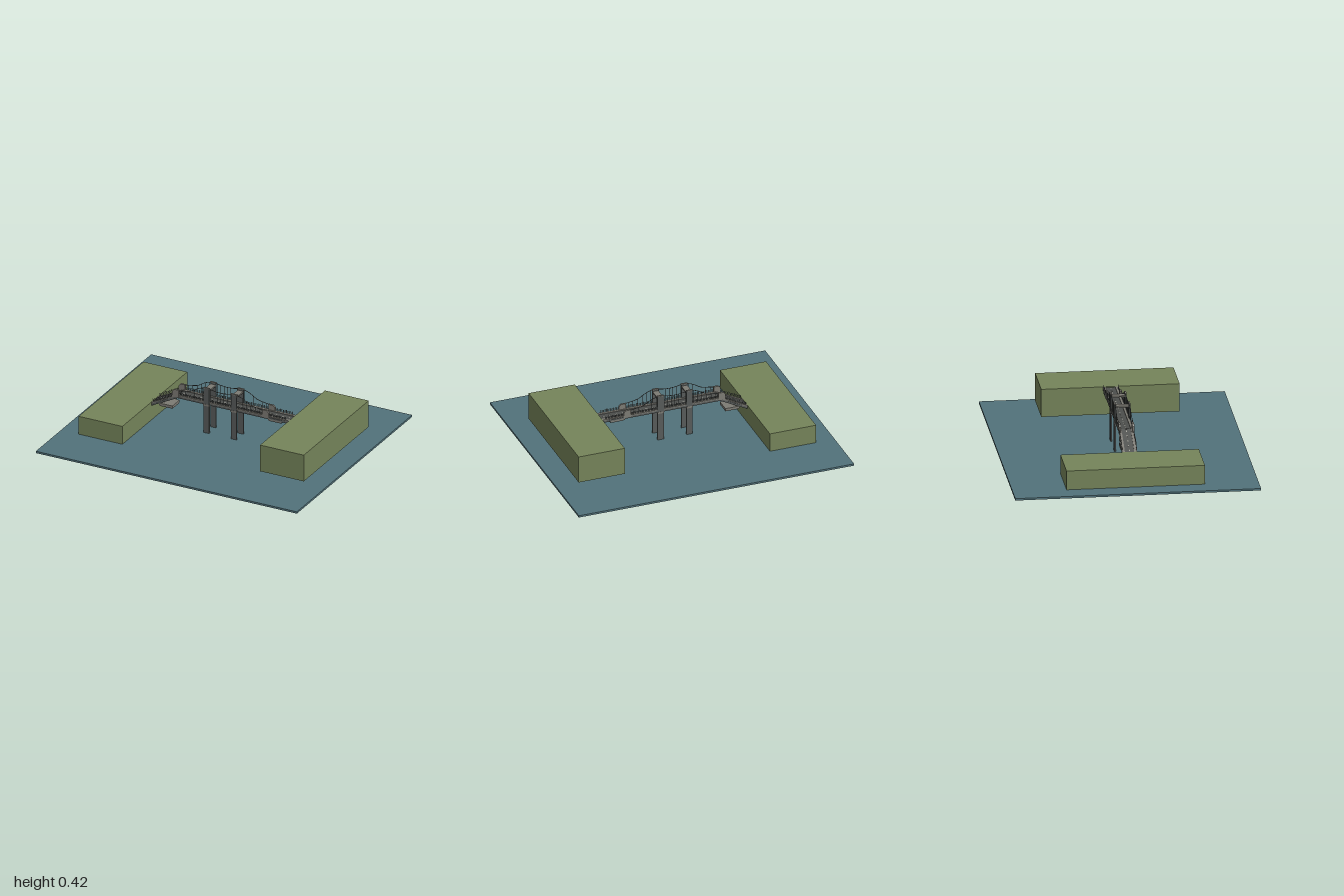
import * as THREE from 'three';

const mat = (name, color) => Object.assign(new THREE.MeshStandardMaterial({ color }), { name });

export function createModel() {
  const water = mat('water', 0x52727a), grass = mat('grass', 0x75845a), steel = mat('dark steel', 0x575b5a),
    stone = mat('stone', 0x7d7b74), road = mat('asphalt', 0x4c4e4c), paint = mat('road marking', 0xa09f96);
  const model = new THREE.Group();
  model.name = 'suspensionBridge';

  const add = (geo, m, name, parent = model) => {
    const mesh = new THREE.Mesh(geo, m);
    mesh.name = name;
    parent.add(mesh);
    return mesh;
  };
  // Box given by its limits on each axis
  const box = (name, m, x0, x1, y0, y1, z0, z1, parent = model) => {
    const b = add(new THREE.BoxGeometry(x1 - x0, y1 - y0, z1 - z0), m, name, parent);
    b.position.set((x0 + x1) / 2, (y0 + y1) / 2, (z0 + z1) / 2);
    return b;
  };

  // Water and banks
  box('water', water, -1, 1, 0.066, 0.08, -0.84, 0.84);
  box('lowBank', grass, -0.865, -0.53, 0.07, 0.215, -0.473, 0.473);
  box('highBank', grass, 0.525, 0.86, 0.118, 0.316, -0.473, 0.473);

  // One deck section: slab, kerbs, road, dashes and railings, from x0 to x1 with the walk surface at y = 0
  const deckSection = (name, x0, x1, railStart, railEnd) => {
    const g = new THREE.Group();
    g.name = name;
    model.add(g);
    box('slab', stone, x0, x1, -0.016, -0.002, -0.045, 0.045, g);
    box('road', road, x0, x1, -0.002, 0.001, -0.032, 0.032, g);
    for (let x = x0 + 0.02; x < x1 - 0.02; x += 0.045) box('dash', paint, x, x + 0.014, 0.001, 0.002, -0.003, 0.003, g);
    for (const s of [-1, 1]) {
      const z = s * 0.042;
      box('footway', stone, x0, x1, -0.004, 0.005, z - 0.01, z + 0.01, g);
      box('edgeGirder', steel, x0, x1, -0.018, -0.004, s * 0.048 - 0.003, s * 0.048 + 0.003, g);
      const rz = s * 0.049;
      for (const y of [0.012, 0.02]) box('rail', steel, railStart, railEnd, y, y + 0.002, rz - 0.001, rz + 0.001, g);
      const n = Math.round((railEnd - railStart) / 0.025);
      for (let i = 0; i <= n; i++) {
        const x = railStart + (railEnd - railStart) * i / n;
        box('railPost', steel, x - 0.0015, x + 0.0015, 0, i % 2 ? 0.022 : 0.027, rz - 0.0015, rz + 0.0015, g);
      }
    }
    return g;
  };
  deckSection('mainDeck', -0.335, 0.335, -0.31, 0.31).position.y = 0.309;
  deckSection('levelApproach', 0.335, 0.528, 0.36, 0.5).position.y = 0.309;
  const rampLength = Math.hypot(0.205, 0.105);
  const ramp = deckSection('slopedApproach', 0, rampLength, 0.03, rampLength - 0.02);
  ramp.position.set(-0.535, 0.206, 0);
  ramp.rotation.z = Math.atan2(0.105, 0.205);

  // Bowed outer walls alongside each approach
  const bow = new THREE.Shape();
  bow.moveTo(-0.095, 0.046);
  bow.quadraticCurveTo(0, 0.068, 0.095, 0.046);
  bow.closePath();
  for (const s of [-1, 1]) {
    const right = add(new THREE.ExtrudeGeometry(bow, { depth: 0.01, bevelEnabled: false }), steel, 'bowedEdge');
    right.rotation.x = s * Math.PI / 2;
    right.position.set(0.43, s > 0 ? 0.308 : 0.298, 0);
    const left = add(right.geometry, steel, 'bowedEdge', ramp);
    left.rotation.x = right.rotation.x;
    left.position.set(rampLength / 2, s > 0 ? -0.002 : -0.012, 0);
  }

  // Support slabs under the approaches
  for (const [x, y] of [[-0.42, 0.2], [0.415, 0.278]]) {
    box('supportSlab', stone, x - 0.052, x + 0.052, y + 0.006, y + 0.023, -0.052, 0.052);
    box('supportFoot', steel, x - 0.045, x + 0.05, y, y + 0.006, -0.048, 0.048);
  }

  // Towers with flat legs, a top portal and a beam under the deck
  for (const x of [-0.107, 0.103]) {
    const tower = new THREE.Group();
    tower.name = 'tower';
    tower.position.x = x;
    model.add(tower);
    for (const s of [-1, 1]) {
      const z = s * 0.05;
      box('towerLeg', steel, -0.022, 0.022, 0.001, 0.414, z - 0.005, z + 0.005, tower);
      box('towerCap', stone, -0.023, 0.023, 0.414, 0.42, z - 0.006, z + 0.006, tower);
      box('towerBand', stone, -0.023, 0.023, 0.283, 0.296, z - 0.006, z + 0.006, tower);
    }
    box('portalBeam', stone, -0.021, 0.021, 0.394, 0.404, -0.046, 0.046, tower);
    box('underBeam', stone, -0.02, 0.02, 0.283, 0.295, -0.046, 0.046, tower);
  }

  // Cable anchors with chamfered tops
  const anchor = new THREE.Shape([[-0.026, 0], [0.024, 0], [0.024, 0.055], [-0.012, 0.055], [-0.026, 0.04]]
    .map(p => new THREE.Vector2(...p)));
  const anchorGeo = new THREE.ExtrudeGeometry(anchor, { depth: 0.014, bevelEnabled: false });
  for (const sx of [-1, 1]) for (const sz of [-1, 1]) {
    const a = add(anchorGeo, stone, 'cableAnchor');
    a.rotation.y = sx > 0 ? Math.PI : 0;
    a.position.set(sx * 0.343, 0.298, sz * 0.046 + sx * 0.007);
  }

  // Main cables and hangers
  const points = [[-0.34, 0.345], [-0.3, 0.352], [-0.23, 0.366], [-0.165, 0.402], [-0.107, 0.417], [-0.05, 0.407],
    [0, 0.403], [0.05, 0.407], [0.103, 0.417], [0.165, 0.402], [0.23, 0.366], [0.3, 0.352], [0.34, 0.345]];
  for (const s of [-1, 1]) {
    const curve = new THREE.CatmullRomCurve3(points.map(([x, y]) => new THREE.Vector3(x, y, s * 0.05)));
    add(new THREE.TubeGeometry(curve, 72, 0.0022, 6), steel, 'mainCable');
    for (let i = 1; i < 24; i++) {
      const p = curve.getPoint(i / 24);
      if (Math.abs(Math.abs(p.x) - 0.105) < 0.025) continue;
      box('hanger', steel, p.x - 0.001, p.x + 0.001, 0.309, p.y, p.z - 0.001, p.z + 0.001);
    }
  }
  return model;
}
